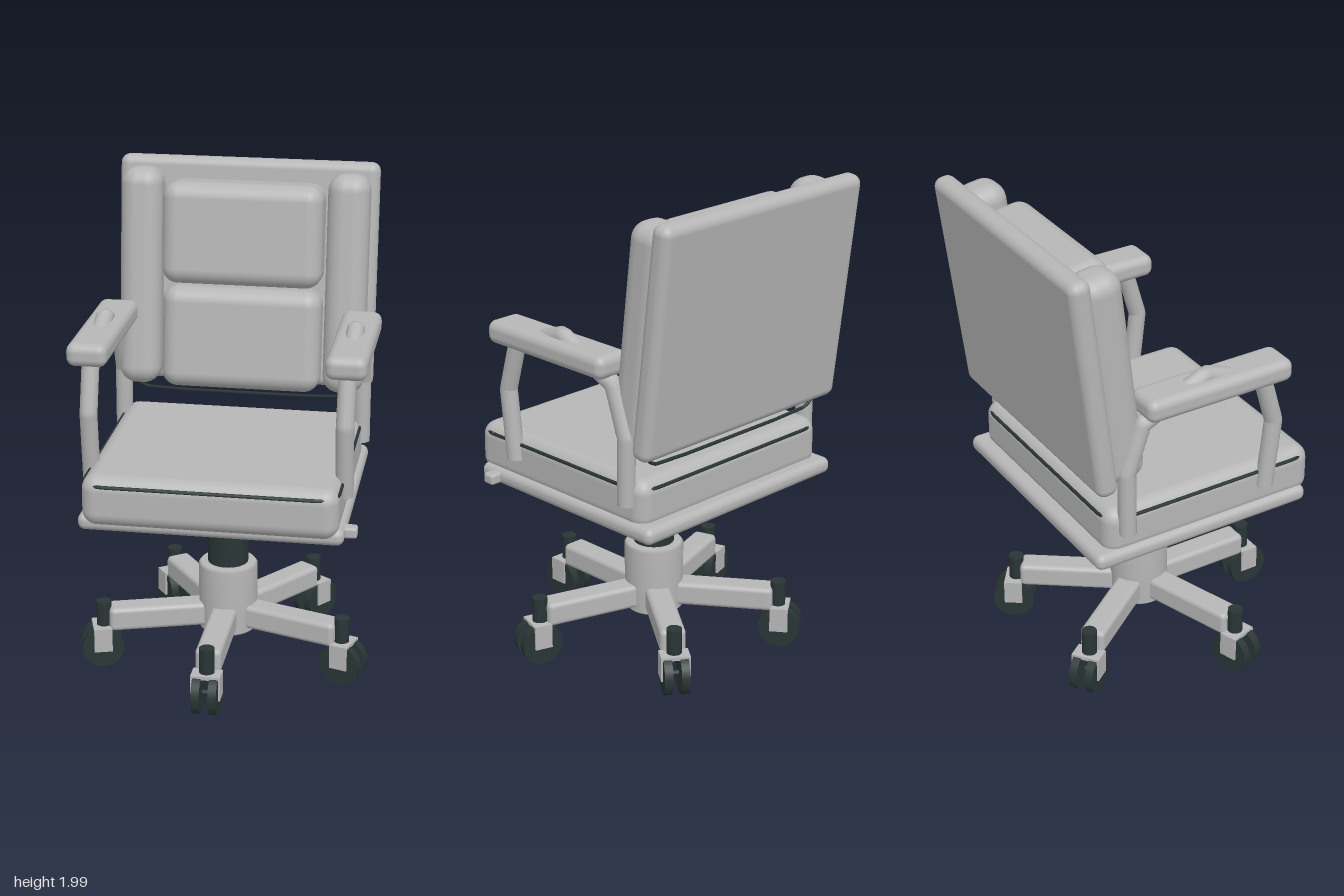
import * as THREE from 'three';
import { RoundedBoxGeometry } from 'three/addons/geometries/RoundedBoxGeometry.js';

const light = new THREE.MeshStandardMaterial({ color: 0xb6b6b6 });
light.name = 'lightGrey';
const dark = new THREE.MeshStandardMaterial({ color: 0x2a3535 });
dark.name = 'darkSlate';

function add(parent, name, geometry, material, x = 0, y = 0, z = 0) {
  const mesh = new THREE.Mesh(geometry, material);
  mesh.name = name;
  mesh.position.set(x, y, z);
  parent.add(mesh);
  return mesh;
}

const rbox = (w, h, d, r) => new RoundedBoxGeometry(w, h, d, 4, r);
const cyl = (r, h, n = 32) => new THREE.CylinderGeometry(r, r, h, n);
const V = (x, y, z) => new THREE.Vector3(x, y, z);

function group(parent, name) {
  const g = new THREE.Group();
  g.name = name;
  parent.add(g);
  return g;
}

// Straight-sided path through points
function polyline(points) {
  const path = new THREE.CurvePath();
  for (let i = 1; i < points.length; i++) path.add(new THREE.LineCurve3(points[i - 1], points[i]));
  return path;
}

// One leg of the star base with its twin-wheel caster, pointing to +z
function buildLeg(parent, index) {
  const leg = group(parent, 'baseLeg' + index);
  leg.rotation.y = index * Math.PI * 2 / 5;
  add(leg, 'arm', rbox(0.105, 0.1, 0.44, 0.02), light, 0, 0.21, 0.28);

  const caster = group(leg, 'caster');
  caster.position.z = 0.53;
  add(caster, 'stem', cyl(0.031, 0.12, 20), dark, 0, 0.222, -0.01);
  add(caster, 'forkTop', new THREE.BoxGeometry(0.118, 0.015, 0.075), light, 0, 0.17, 0);
  for (const s of [-1, 1]) {
    add(caster, 'forkSide', new THREE.BoxGeometry(0.008, 0.1, 0.075), light, s * 0.056, 0.125, 0);
    const wheel = add(caster, 'wheel', cyl(0.086, 0.034), dark, s * 0.034, 0.091, 0);
    wheel.rotation.z = Math.PI / 2;
  }
  const axle = add(caster, 'axle', cyl(0.012, 0.1, 12), dark, 0, 0.091, 0);
  axle.rotation.z = Math.PI / 2;
}

function buildBase(parent) {
  const base = group(parent, 'base');
  const profile = [[0, 0.135], [0.11, 0.135], [0.12, 0.145], [0.122, 0.42], [0.112, 0.432], [0, 0.432]];
  add(base, 'hub', new THREE.LatheGeometry(profile.map(p => new THREE.Vector2(...p)), 40), light);
  add(base, 'gasColumn', cyl(0.083, 0.3), dark, 0, 0.56, 0);
  for (let i = 0; i < 5; i++) buildLeg(base, i);
}

function buildSeat(parent) {
  const seat = group(parent, 'seat');
  add(seat, 'mountingPlate', rbox(0.55, 0.06, 0.46, 0.02), dark, 0, 0.71, -0.01);
  add(seat, 'seatPan', rbox(1.05, 0.068, 0.97, 0.03), light, 0, 0.759, -0.015);
  add(seat, 'seatCushion', rbox(1.01, 0.21, 0.945, 0.06), light, 0, 0.857, 0.028);
  add(seat, 'heightLever', rbox(0.1, 0.045, 0.055, 0.012), light, 0.52, 0.758, 0.375);

  // Piping follows a rounded rectangle that sinks in at the corners
  const w = 0.5, d = 0.467, r = 0.085;
  const corners = [[1, 1, 0], [-1, 1, 1], [-1, -1, 2], [1, -1, 3]];
  const points = [];
  for (const [sx, sz, q] of corners) {
    for (let i = 0; i <= 6; i++) {
      const a = (q + i / 6) * Math.PI / 2;
      points.push(V(sx * (w - r) + r * Math.cos(a), 0.925, 0.028 + sz * (d - r) + r * Math.sin(a)));
    }
  }
  points.push(points[0].clone());
  const piping = new THREE.TubeGeometry(polyline(points), 280, 0.008, 6, false);
  add(seat, 'seatPiping', piping, dark);
}

function buildBack(parent) {
  const back = group(parent, 'backrest');
  back.position.set(0, 1.53, -0.507);
  back.rotation.x = -0.122;
  add(back, 'backPanel', rbox(1.08, 0.94, 0.09, 0.038), light);
  for (const s of [-1, 1]) {
    add(back, 'sideBolster', rbox(0.172, 0.905, 0.18, 0.07), light, s * 0.427, -0.02, 0.105);
  }
  add(back, 'upperCushion', rbox(0.66, 0.42, 0.22, 0.065), light, 0, 0.175, 0.13);
  add(back, 'lowerCushion', rbox(0.66, 0.425, 0.18, 0.065), light, 0, -0.262, 0.115);

  // Thin cord hanging below the panel
  const cord = polyline([V(-0.47, -0.46, 0.012), V(-0.46, -0.495, 0.012), V(-0.42, -0.515, 0.012),
    V(-0.25, -0.521, 0.012), V(0.25, -0.521, 0.012), V(0.42, -0.515, 0.012),
    V(0.46, -0.495, 0.012), V(0.47, -0.46, 0.012)]);
  add(back, 'backPiping', new THREE.TubeGeometry(cord, 64, 0.007, 6, false), dark);
}

// Pad with a bent tube that rises through its top
function buildArmrest(parent, s) {
  const arm = group(parent, s > 0 ? 'leftArmrest' : 'rightArmrest');
  add(arm, 'armPad', rbox(0.162, 0.094, 0.645, 0.035), light, s * 0.505, 1.4, 0.018);
  const x = s * 0.505;
  const path = polyline([V(x, 0.865, 0.272), V(x, 1.15, 0.305), V(x, 1.36, 0.245),
    V(x, 1.452, -0.018), V(x, 1.325, -0.295), V(x, 1.13, -0.362), V(x, 0.86, -0.36)]);
  add(arm, 'armFrame', new THREE.TubeGeometry(path, 120, 0.036, 12, false), light);
  for (const [y, z] of [[0.865, 0.272], [0.86, -0.36]]) {
    add(arm, 'frameFoot', cyl(0.036, 0.006, 12), light, x, y, z);
  }
}

export function createModel() {
  const chair = new THREE.Group();
  chair.name = 'officeChair';
  buildBase(chair);
  buildSeat(chair);
  buildBack(chair);
  for (const s of [-1, 1]) buildArmrest(chair, s);
  return chair;
}
